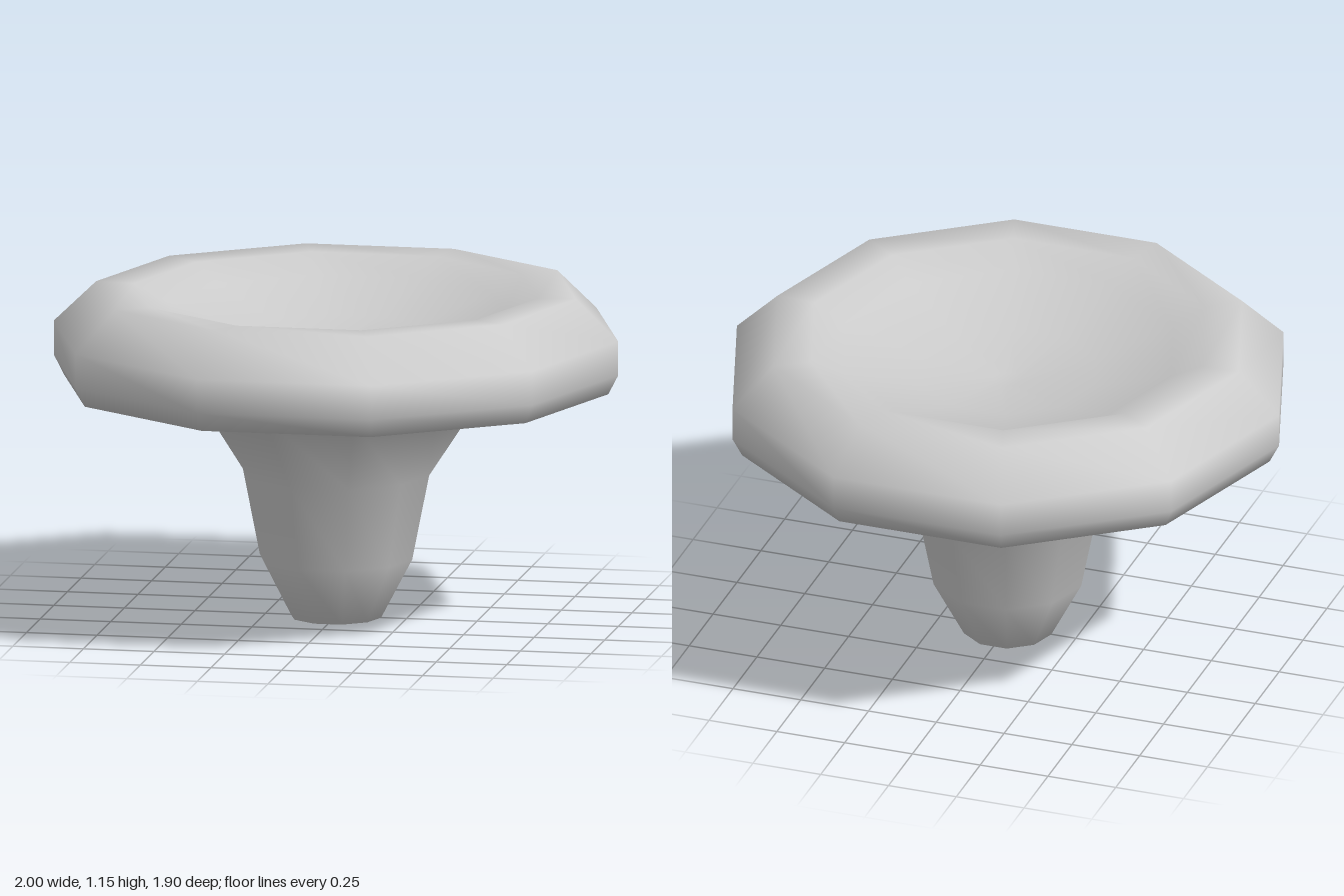
import * as THREE from 'three';

const SIDES = 10;

// Ten-sided smooth turned surface with a corner on the x axis
function turned(name, profile) {
  const points = profile.map(([r, y]) => new THREE.Vector2(r, y));
  const geometry = new THREE.LatheGeometry(points, SIDES, Math.PI / 2);
  const mesh = new THREE.Mesh(geometry, new THREE.MeshStandardMaterial({ color: 0xcccccc }));
  mesh.name = name;
  return mesh;
}

export function createModel() {
  const group = new THREE.Group();
  group.name = 'mushroom';

  // One continuous skin: closed foot, flaring stem, thick rim, shallow dished top
  group.add(turned('stemAndCap', [
    [0, 0], [0.16, 0], [0.27, 0.21], [0.33, 0.51], [0.51, 0.785],
    [0.965, 0.822], [1, 0.89], [1, 1.01], [0.85, 1.155],
    [0.715, 1.152], [0.6, 1.092], [0.32, 1.005], [0.05, 0.975], [0, 0.975],
  ]));
  return group;
}
